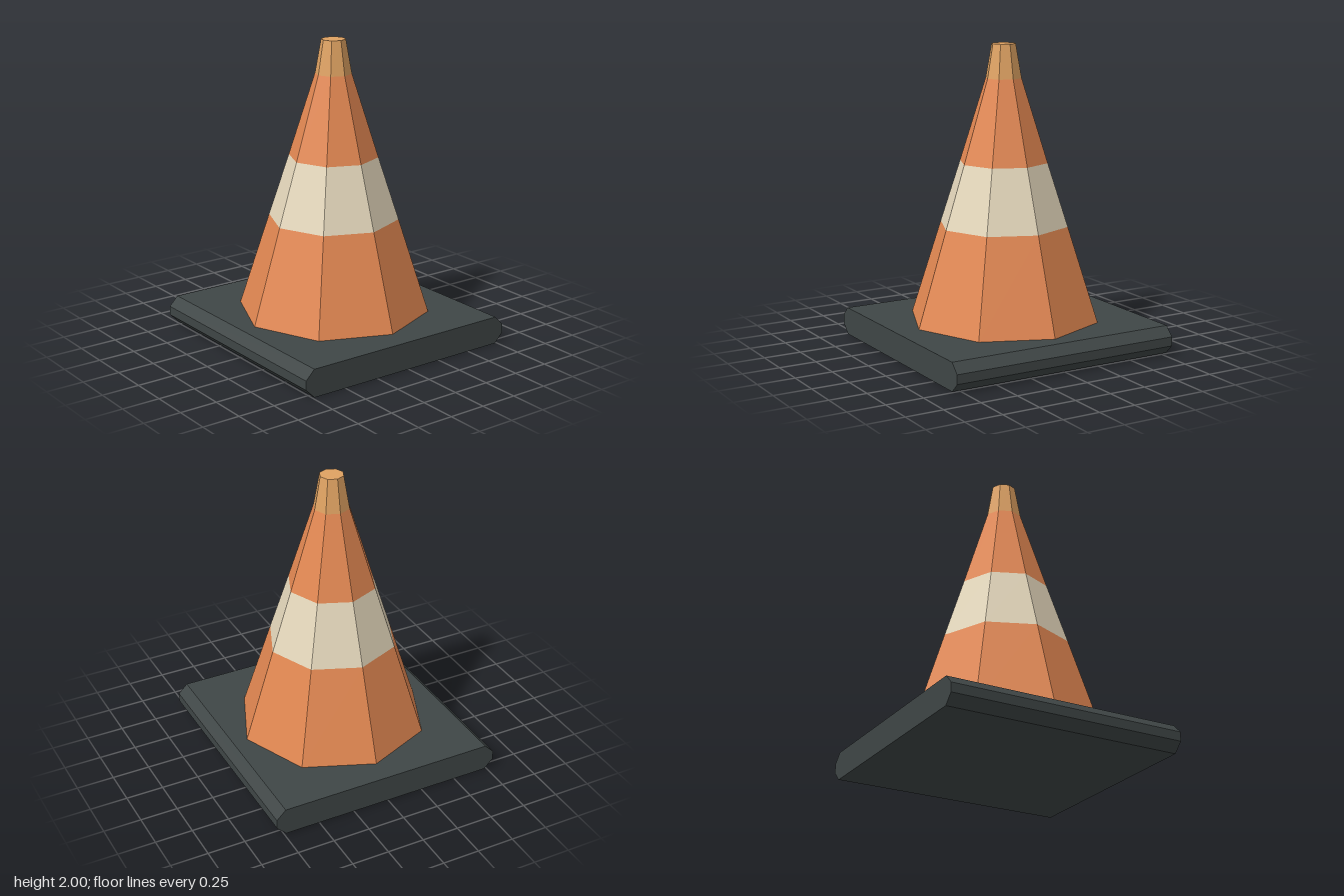
import * as THREE from 'three';

const makeMaterial = (name, color) => {
  const m = new THREE.MeshStandardMaterial({ color, flatShading: true });
  m.name = name;
  return m;
};

export function createModel() {
  const orange = makeMaterial('orange', 0xe38852);
  const cream = makeMaterial('cream', 0xe4d7bb);
  const amber = makeMaterial('amber', 0xdfa262);
  const charcoal = makeMaterial('charcoal', 0x3f4646);

  const model = new THREE.Group();
  model.name = 'trafficCone';
  const add = (name, geometry, material) => {
    const mesh = new THREE.Mesh(geometry, material);
    mesh.name = name;
    model.add(mesh);
    return mesh;
  };

  // Base slab: chamfered on the left and right edges only, flat front and back
  const H = 0.185, W = 0.797, C = 0.062;
  const profile = new THREE.Shape([
    [-W + C, 0], [W - C, 0], [W, C], [W, H - C],
    [W - C, H], [-W + C, H], [-W, H - C], [-W, C],
  ].map(([x, y]) => new THREE.Vector2(x, y)));
  const slab = new THREE.ExtrudeGeometry(profile, { depth: 2 * W, bevelEnabled: false });
  slab.translate(0, 0, -W);
  add('base', slab, charcoal);

  // Eight-sided cone built from stacked bands: name, y and radius at bottom and top
  const bands = [
    ['lowerBody', H, 0.635, 0.815, 0.431, orange],
    ['stripe', 0.815, 0.431, 1.23, 0.295, cream],
    ['upperBody', 1.23, 0.295, 1.777, 0.12, orange],
    ['tip', 1.777, 0.12, 2, 0.08, amber],
  ];
  for (const [name, y0, r0, y1, r1, material] of bands) {
    const closed = name === 'tip';
    const geometry = new THREE.CylinderGeometry(r1, r0, y1 - y0, 8, 1, !closed);
    add(name, geometry, material).position.y = (y0 + y1) / 2;
  }

  return model;
}
